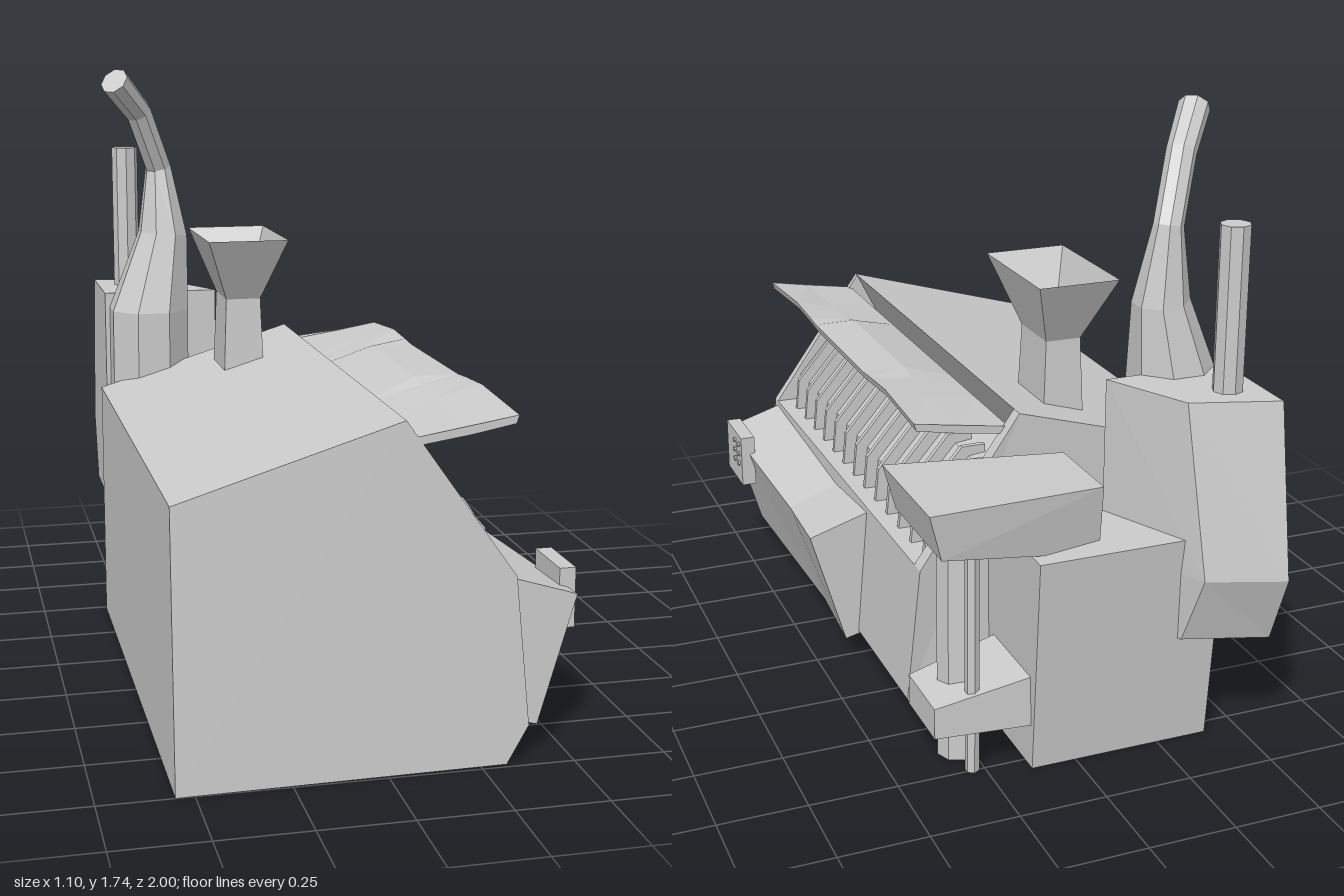
import * as THREE from 'three';

const grey = new THREE.MeshStandardMaterial({ color: 0xcccccc, flatShading: true });
const greyThin = new THREE.MeshStandardMaterial({ color: 0xcccccc, flatShading: true, side: THREE.DoubleSide });

// Joins equal-sized rings of [x, y, z] points; winding is fixed by the signed volume.
function loft(rings, capped = true) {
  const tris = [];
  const n = rings[0].length;
  for (let i = 0; i < rings.length - 1; i++) {
    for (let j = 0; j < n; j++) {
      const k = (j + 1) % n;
      const a = rings[i][j], b = rings[i][k], c = rings[i + 1][k], d = rings[i + 1][j];
      tris.push([a, b, c], [a, c, d]);
    }
  }
  if (capped) {
    const first = rings[0], last = rings[rings.length - 1];
    for (let j = 1; j < n - 1; j++) {
      tris.push([first[0], first[j + 1], first[j]], [last[0], last[j], last[j + 1]]);
    }
  }
  const v = (p) => new THREE.Vector3(...p);
  const volume = tris.reduce((s, [a, b, c]) => s + v(a).dot(v(b).cross(v(c))), 0);
  const flat = tris.flatMap((t) => (volume < 0 ? [t[0], t[2], t[1]] : t)).flat();
  const geo = new THREE.BufferGeometry();
  geo.setAttribute('position', new THREE.Float32BufferAttribute(flat, 3));
  geo.computeVertexNormals();
  return geo;
}

// Extrudes an x-y outline, with z given by a rule for the near and far end.
function slab(points, backZ, frontZ) {
  const shape = new THREE.Shape(points.map((p) => new THREE.Vector2(...p)));
  const geo = new THREE.ExtrudeGeometry(shape, { depth: 1, bevelEnabled: false });
  const pos = geo.attributes.position;
  for (let i = 0; i < pos.count; i++) {
    const rule = pos.getZ(i) > 0.5 ? frontZ : backZ;
    pos.setZ(i, rule(pos.getX(i), pos.getY(i)));
  }
  geo.computeVertexNormals();
  return geo;
}

const rectY = (x0, x1, z0, z1, y) => [[x0, y, z0], [x1, y, z0], [x1, y, z1], [x0, y, z1]];
const rectX = (x, y0, y1, z0, z1) => [[x, y0, z0], [x, y1, z0], [x, y1, z1], [x, y0, z1]];

export function createModel() {
  const model = new THREE.Group();
  const add = (name, geo, mat = grey, parent = model) => {
    const mesh = new THREE.Mesh(geo, mat);
    mesh.name = name;
    parent.add(mesh);
    return mesh;
  };
  const pole = (name, r, x, z, y0, y1, sides = 8) =>
    add(name, new THREE.CylinderGeometry(r, r, y1 - y0, sides)).position.set(x, (y0 + y1) / 2, z);

  // Main housing: a notched core between two full end walls
  const lower = [[-0.55, 0], [0.32, 0], [0.38, 0.1], [0.345, 0.5]];
  const upper = [[0.05, 0.92], [-0.55, 0.74]];
  const notch = [[0.27, 0.5], [0.26, 0.59], [0.13, 0.74], [-0.03, 0.76], [0.04, 0.9]];
  const flat = (z) => () => z;
  add('housing', slab([...lower, ...notch, ...upper], flat(-0.46), flat(0.93)));
  add('frontWall', slab([...lower, ...upper], flat(0.93),
    (x, y) => 1 - 0.04 * y / 0.92 - 0.018 * (x + 0.55)));
  add('backWall', slab([...lower, ...upper],
    (x, y) => -0.485 - 0.025 * (x + 0.55) * Math.min(1, y / 0.5), flat(-0.46)));

  // Row of dividers in the opening
  const dividers = new THREE.Group();
  dividers.name = 'dividers';
  model.add(dividers);
  const fin = [[0.24, 0.5], [0.305, 0.5], [0.295, 0.6], [0.15, 0.77], [0.08, 0.77], [0.08, 0.7]];
  for (let i = 0; i < 13; i++) {
    const z = 0.84 - i * 0.105;
    add('divider', slab(fin, flat(z - 0.008), flat(z + 0.008)), grey, dividers);
  }

  // Raised lid: z, outer edge height, rise of its middle
  const lid = [[0.95, 0.92, 0], [0.65, 0.938, 0], [0.5, 0.93, 0.01], [0.44, 0.925, 0.025],
    [-0.03, 0.925, 0.025], [-0.1, 0.93, 0.01], [-0.23, 0.938, 0], [-0.47, 0.92, 0]];
  add('lid', loft(lid.map(([z, y, h]) => [
    [0.07, 0.875, z], [0.22, (y + 0.875) / 2 + h, z], [0.345, y, z],
    [0.338, y - 0.022, z], [0.22, (y + 0.875) / 2 - 0.022, z], [0.085, 0.855, z],
  ])), greyThin);

  // Sloping side apron, slightly hollow along its length
  add('apron', loft([[0.93, 0, 0], [0.25, 0.022, 0.025], [-0.045, 0, 0]].map(([z, dx, dy]) => [
    [0.33, 0.49 - dy, z], [0.523 - dx, 0.43 - dy, z], [0.42 - dx, 0.08 - dy / 3, z], [0.34, 0.1, z],
  ])));

  // Control box with buttons
  add('controlBox', new THREE.BoxGeometry(0.045, 0.165, 0.185)).position.set(0.52, 0.398, 0.772);
  for (let row = 0; row < 3; row++) {
    for (const z of [0.708, 0.755]) {
      const button = add('button', new THREE.CylinderGeometry(0.009, 0.009, 0.012, 8));
      button.rotation.z = Math.PI / 2;
      button.position.set(0.544, 0.385 + row * 0.033, z);
    }
  }

  // Open feed funnel on the roof
  add('feedFunnel', loft([
    rectY(-0.21, -0.085, -0.355, -0.16, 0.8),
    rectY(-0.2, -0.095, -0.345, -0.17, 1.06),
    rectY(-0.27, -0.03, -0.445, -0.06, 1.25),
  ], false), greyThin);

  // Rear cabinet, leaning outward to its top
  add('rearCabinet', loft([
    rectY(-0.4, 0.13, -0.8, -0.47, 0),
    rectY(-0.4, 0.14, -0.86, -0.47, 0.64),
  ]));

  // Faceted rear unit with exhaust pipe
  const unit = (y, z, x) => [[-0.52, y, -0.6], [-0.52, y, z], [x, y, z + 0.077], [-0.16, y, -0.6]];
  add('rearUnit', loft([unit(0.335, -0.92, -0.29), unit(0.54, -1, -0.31), unit(1.025, -0.92, -0.28)]));
  pole('exhaustPipe', 0.042, -0.425, -0.79, 1, 1.48);

  // Bent chimney: x, y, z, radius
  const path = [[-0.39, 0, -0.56, 0.13], [-0.385, 0.98, -0.555, 0.13], [-0.335, 1.22, -0.565, 0.08],
    [-0.345, 1.43, -0.575, 0.042], [-0.415, 1.61, -0.5, 0.042], [-0.5, 1.71, -0.405, 0.045]];
  const centre = path.map((p) => new THREE.Vector3(p[0], p[1], p[2]));
  const up = new THREE.Vector3(0, 1, 0);
  add('chimney', loft(path.map((p, i) => {
    const dir = centre[Math.min(i + 1, 5)].clone().sub(centre[Math.max(i - 1, 0)]).normalize();
    const turn = new THREE.Quaternion().setFromUnitVectors(up, i < 2 ? up : dir);
    return Array.from({ length: 8 }, (_, j) => {
      const a = (j + 0.5) * Math.PI / 4;
      return new THREE.Vector3(Math.cos(a) * p[3], 0, Math.sin(a) * p[3])
        .applyQuaternion(turn).add(centre[i]).toArray();
    });
  })));

  // Side tray on poles with a bracket
  add('sideTray', loft([
    [[-0.07, 0.6, -0.53], [-0.07, 0.8, -0.53], [-0.07, 0.8, -0.79], [-0.07, 0.6, -0.77]],
    [[0.42, 0.71, -0.53], [0.455, 0.84, -0.525], [0.455, 0.84, -0.89], [0.42, 0.71, -0.88]],
  ]));
  add('bracket', loft([rectX(0.1, 0.13, 0.285, -0.795, -0.525), rectX(0.4, 0.13, 0.22, -0.765, -0.56)]));
  pole('thickPole', 0.06, 0.285, -0.635, 0, 0.68);
  pole('thinPole', 0.02, 0.285, -0.745, 0, 0.66, 6);

  return model;
}
